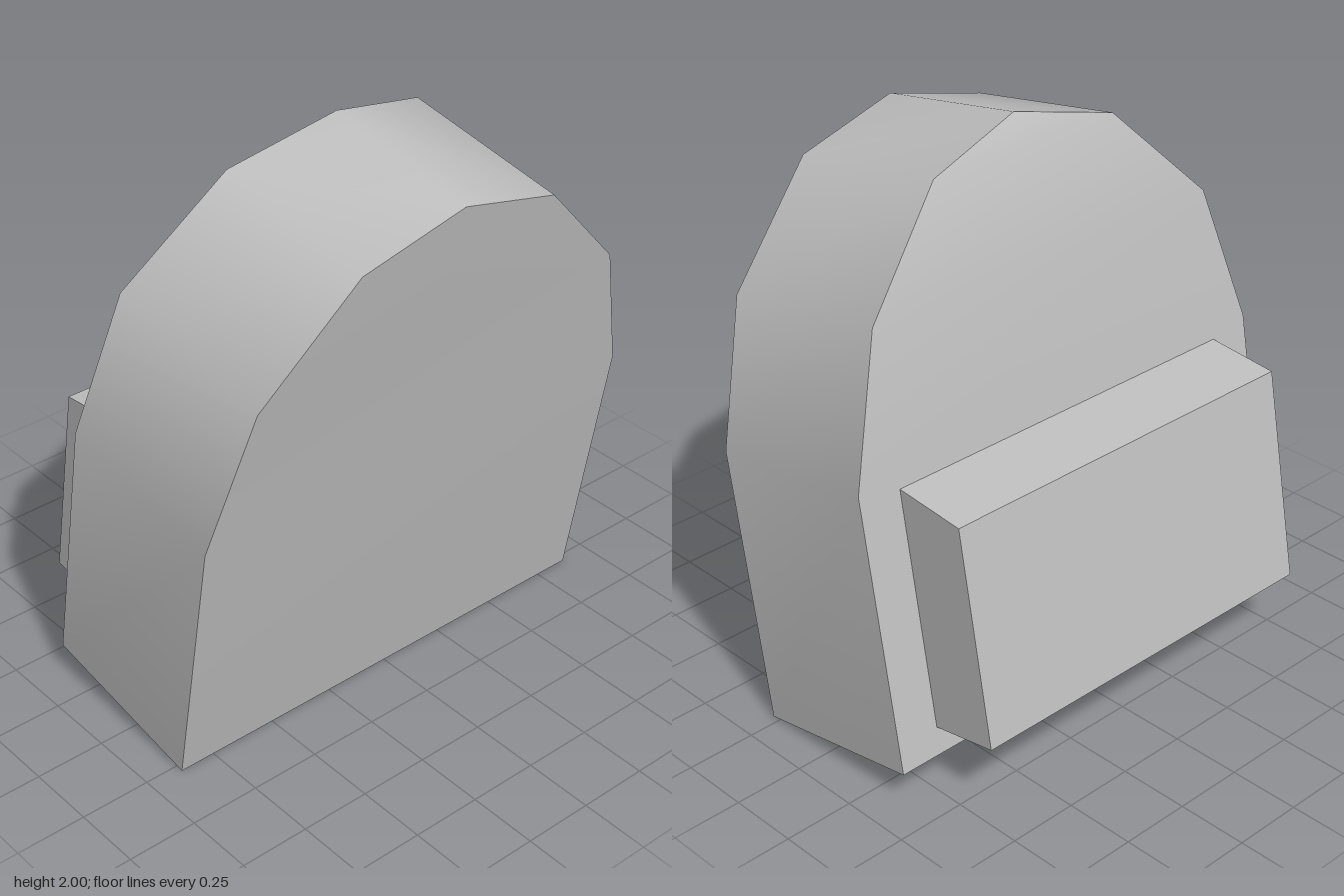
import * as THREE from 'three';
import { toCreasedNormals } from 'three/addons/utils/BufferGeometryUtils.js';

// Half outline of the arch, bottom to apex: x, front y, front z, back y, back z
const LEVELS = [
  [0.88, 0, 0.28, 0.12, -0.38],
  [0.88, 0.96, 0.447, 1.07, -0.21],
  [0.735, 1.44, 0.53, 1.56, -0.13],
  [0.39, 1.8, 0.593, 1.905, -0.03],
  [0, 1.9, 0.61, 2.0, 0.025],
];

// Leaning arched block whose back curves forward near the top
function archGeometry() {
  const pos = [];
  const quad = (a, b, c, d) => pos.push(...a, ...b, ...c, ...a, ...c, ...d);
  const front = (i, s) => [s * LEVELS[i][0], LEVELS[i][1], LEVELS[i][2]];
  const back = (i, s) => [s * LEVELS[i][0], LEVELS[i][3], LEVELS[i][4]];

  quad(front(0, -1), back(0, -1), back(0, 1), front(0, 1)); // underside
  for (let i = 0; i < LEVELS.length - 1; i++) {
    const j = i + 1;
    // side walls running up and over the arch
    quad(front(i, 1), back(i, 1), back(j, 1), front(j, 1));
    quad(back(i, -1), front(i, -1), front(j, -1), back(j, -1));
    if (j < LEVELS.length - 1) {
      quad(front(i, -1), front(i, 1), front(j, 1), front(j, -1));
      quad(back(i, 1), back(i, -1), back(j, -1), back(j, 1));
    } else {
      // top triangles meeting at the apex
      pos.push(...front(i, -1), ...front(i, 1), ...front(j, 1));
      pos.push(...back(i, 1), ...back(i, -1), ...back(j, 1));
    }
  }
  const g = new THREE.BufferGeometry();
  g.setAttribute('position', new THREE.Float32BufferAttribute(pos, 3));
  return toCreasedNormals(g, THREE.MathUtils.degToRad(40));
}

// Side profile (z, y) extruded across the width
function padGeometry(width) {
  const profile = [[-0.215, 1.035], [-0.48, 1.01], [-0.615, 0.26], [-0.36, 0.215]];
  const shape = new THREE.Shape(profile.map(([z, y]) => new THREE.Vector2(-z, y)));
  const g = new THREE.ExtrudeGeometry(shape, { depth: width, bevelEnabled: false });
  g.translate(0, 0, -width / 2);
  g.rotateY(Math.PI / 2); // shape x becomes -z
  return g;
}

export function createModel() {
  const grey = new THREE.MeshStandardMaterial({ color: 0xc0c0c0 });
  grey.name = 'grey';
  const group = new THREE.Group();
  group.name = 'archedBlock';

  const body = new THREE.Mesh(archGeometry(), grey);
  body.name = 'archedBody';
  const pad = new THREE.Mesh(padGeometry(1.44), grey);
  pad.name = 'backPad';
  group.add(body, pad);
  return group;
}
